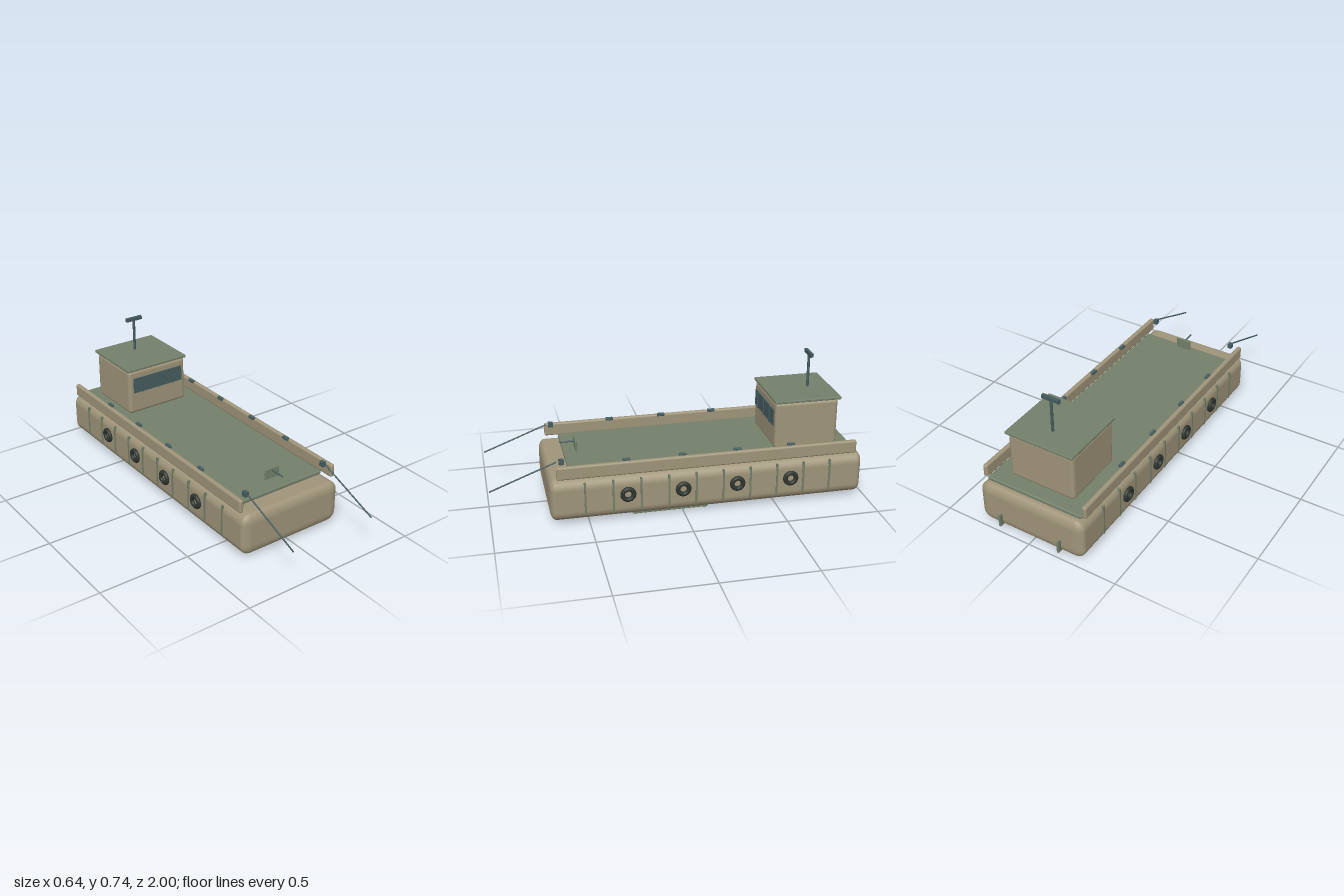
import * as THREE from 'three';
import { RoundedBoxGeometry } from 'three/addons/geometries/RoundedBoxGeometry.js';

const material = (name, color) => {
  const m = new THREE.MeshStandardMaterial({ color });
  m.name = name;
  return m;
};

export function createModel() {
  const tan = material('tan hull paint', 0xa0957a);
  const olive = material('olive deck paint', 0x74806a);
  const slate = material('slate fittings', 0x465d60);
  const rubber = material('dark rubber', 0x2f3530);

  const boat = new THREE.Group();
  boat.name = 'barge';

  const add = (name, geometry, mat, x = 0, y = 0, z = 0) => {
    const mesh = new THREE.Mesh(geometry, mat);
    mesh.name = name;
    mesh.position.set(x, y, z);
    boat.add(mesh);
    return mesh;
  };
  // Box given by its limits on each axis, with optional rounded edges
  const block = (name, mat, [x0, x1], [y0, y1], [z0, z1], r = 0) => {
    const size = [x1 - x0, y1 - y0, z1 - z0];
    const geo = r ? new RoundedBoxGeometry(...size, 4, r) : new THREE.BoxGeometry(...size);
    return add(name, geo, mat, (x0 + x1) / 2, (y0 + y1) / 2, (z0 + z1) / 2);
  };
  // Round bar between two points
  const bar = (name, mat, from, to, r) => {
    const a = new THREE.Vector3(...from), b = new THREE.Vector3(...to);
    const d = b.clone().sub(a);
    const mesh = add(name, new THREE.CylinderGeometry(r, r, d.length(), 12), mat);
    mesh.position.copy(a).add(b).multiplyScalar(0.5);
    mesh.quaternion.setFromUnitVectors(new THREE.Vector3(0, 1, 0), d.normalize());
    return mesh;
  };

  // Hull, with tighter rounding along its length
  const hullGeo = new RoundedBoxGeometry(0.61, 0.23, 2.8, 6, 0.055);
  hullGeo.scale(1, 1, 0.6);
  hullGeo.computeBoundingSphere();
  add('hull', hullGeo, tan, 0, 0.135, -0.14);
  block('deck', olive, [-0.277, 0.277], [0.248, 0.27], [-0.94, 0.59], 0.008);

  // Bottom plate
  block('bottomPlate', olive, [-0.262, 0.262], [0.008, 0.024], [-0.13, 0.27], 0.004);

  // Wheelhouse
  block('cabin', tan, [-0.188, 0.188], [0.268, 0.529], [-0.866, -0.518], 0.02);
  block('cabinRoof', olive, [-0.195, 0.195], [0.528, 0.543], [-0.88, -0.513], 0.004);
  block('windowBand', slate, [-0.16, 0.16], [0.397, 0.485], [-0.519, -0.511]);
  for (const x of [-0.103, 0, 0.103])
    bar('windowMullion', slate, [x, 0.395, -0.509], [x, 0.487, -0.509], 0.004);

  // Mast with crossbar
  bar('mast', slate, [0, 0.54, -0.755], [0, 0.725, -0.755], 0.0075);
  block('mastCrossbar', slate, [-0.05, 0.05], [0.722, 0.743], [-0.763, -0.747]);

  // Foredeck control panel and its lever
  block('controlPanel', olive, [-0.043, 0.043], [0.295, 0.352], [0.522, 0.532], 0.003);
  bar('controlLever', slate, [0, 0.338, 0.53], [0, 0.338, 0.612], 0.004);

  // Everything mirrored port and starboard
  for (const s of [-1, 1]) {
    const span = (a, b) => (s > 0 ? [a, b] : [-b, -a]);
    block('bulwark', tan, span(0.278, 0.304), [0.259, 0.33], [-0.938, 0.662], 0.01);

    // Hull ribs
    for (let i = 0; i < 10; i++) {
      const z = 0.521 - i * 0.1458;
      block('hullRib', olive, span(0.296, 0.309), [0.06, 0.236], [z - 0.005, z + 0.005]);
    }
    // Tyre fenders and bulwark cleats
    for (const z of [0.3, 0.009, -0.282, -0.574]) {
      const tyre = add('tyreFender', new THREE.TorusGeometry(0.0295, 0.0125, 12, 28), rubber, s * 0.31, 0.15, z);
      tyre.rotation.y = Math.PI / 2;
    }
    for (const z of [0.3, 0.006, -0.286, -0.578])
      block('cleat', slate, span(0.268, 0.286), [0.323, 0.339], [z - 0.02, z + 0.02], 0.003);

    // Bow mooring posts and arms
    block('bowPost', slate, span(0.236, 0.258), [0.325, 0.352], [0.617, 0.643]);
    bar('bowArm', slate, [s * 0.247, 0.34, 0.655], [s * 0.247, 0.208, 0.998], 0.004);

    // Stern brackets and bottom plate hinges
    block('sternBracket', olive, span(0.169, 0.181), [0.035, 0.104], [-1, -0.97]);
    block('plateHinge', slate, span(0.216, 0.25), [0, 0.016], [-0.136, -0.112], 0.005);
  }

  return boat;
}
